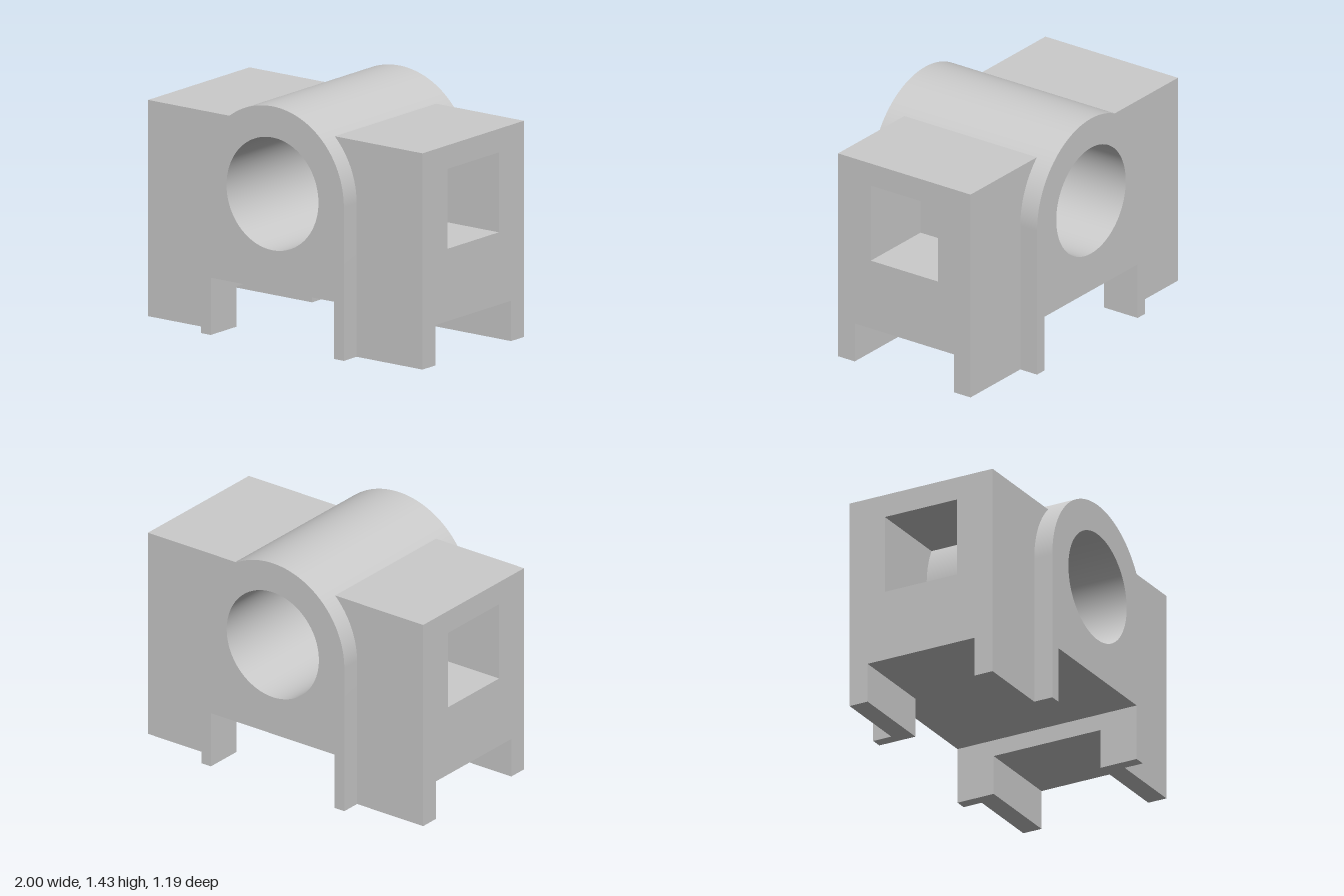
import * as THREE from 'three';
import { toCreasedNormals } from 'three/addons/utils/BufferGeometryUtils.js';

const ARCH_R = 0.52, BORE_R = 0.335, AXIS_Y = 0.91;
const ARCH_Z = 0.595, BLOCK_Z = 0.475, BLOCK_TOP = 1.285;
const SLOT_X = 0.45, SLOT_TOP = 0.34;  // front-to-back slot
const GAP_Z = 0.355, GAP_TOP = 0.24;   // side-to-side slot
const INNER_X = 0.46;                  // block ends hidden inside the arch

const material = new THREE.MeshStandardMaterial({ color: 0xcccccc });

const polygon = (points) => new THREE.Shape(points.map(([x, y]) => new THREE.Vector2(x, y)));

function extrude(shape, depth) {
  const geometry = new THREE.ExtrudeGeometry(shape, { depth, bevelEnabled: false, curveSegments: 64 });
  return toCreasedNormals(geometry, 0.5);
}

export function createModel() {
  const model = new THREE.Group();
  model.name = 'bearingBlock';
  const add = (name, geometry) => {
    const mesh = new THREE.Mesh(geometry, material);
    mesh.name = name;
    model.add(mesh);
  };

  // Arched housing with a round bore and the slot beneath it
  const arch = new THREE.Shape();
  arch.moveTo(-ARCH_R, GAP_TOP);
  arch.lineTo(-SLOT_X, GAP_TOP);
  arch.lineTo(-SLOT_X, SLOT_TOP);
  arch.lineTo(SLOT_X, SLOT_TOP);
  arch.lineTo(SLOT_X, GAP_TOP);
  arch.lineTo(ARCH_R, GAP_TOP);
  arch.lineTo(ARCH_R, AXIS_Y);
  arch.absarc(0, AXIS_Y, ARCH_R, 0, Math.PI, false);
  arch.closePath();
  arch.holes.push(new THREE.Path().absarc(0, AXIS_Y, BORE_R, 0, Math.PI * 2, true));
  add('archedHousing', extrude(arch, ARCH_Z * 2).translate(0, 0, -ARCH_Z));

  // Side block outline with a square pocket that reaches the housing wall
  const block = polygon([[-BLOCK_Z, GAP_TOP], [BLOCK_Z, GAP_TOP], [BLOCK_Z, BLOCK_TOP], [-BLOCK_Z, BLOCK_TOP]]);
  block.holes.push(polygon([[-0.24, 0.67], [-0.24, 1.145], [0.24, 1.145], [0.24, 0.67]]));

  for (const sx of [-1, 1]) {
    const side = sx > 0 ? 'left' : 'right';
    add(side + 'Block', extrude(block, 1 - INNER_X).rotateY(Math.PI / 2).translate(sx > 0 ? INNER_X : -1, 0, 0));

    // Filler where the block top meets the curved housing
    const wedge = polygon([[sx * 0.345, BLOCK_TOP], [sx * INNER_X, 1.147], [sx * INNER_X, BLOCK_TOP]]);
    add(side + 'BlockShoulder', extrude(wedge, BLOCK_Z * 2).translate(0, 0, -BLOCK_Z));

    // L-shaped feet, one at each corner
    for (const sz of [-1, 1]) {
      const foot = polygon([
        [SLOT_X, GAP_Z], [1, GAP_Z], [1, BLOCK_Z], [ARCH_R, BLOCK_Z], [ARCH_R, ARCH_Z], [SLOT_X, ARCH_Z],
      ].map(([x, z]) => [sx * x, -sz * z]));
      add(side + (sz > 0 ? 'FrontFoot' : 'BackFoot'), extrude(foot, GAP_TOP).rotateX(-Math.PI / 2));
    }
  }
  return model;
}
